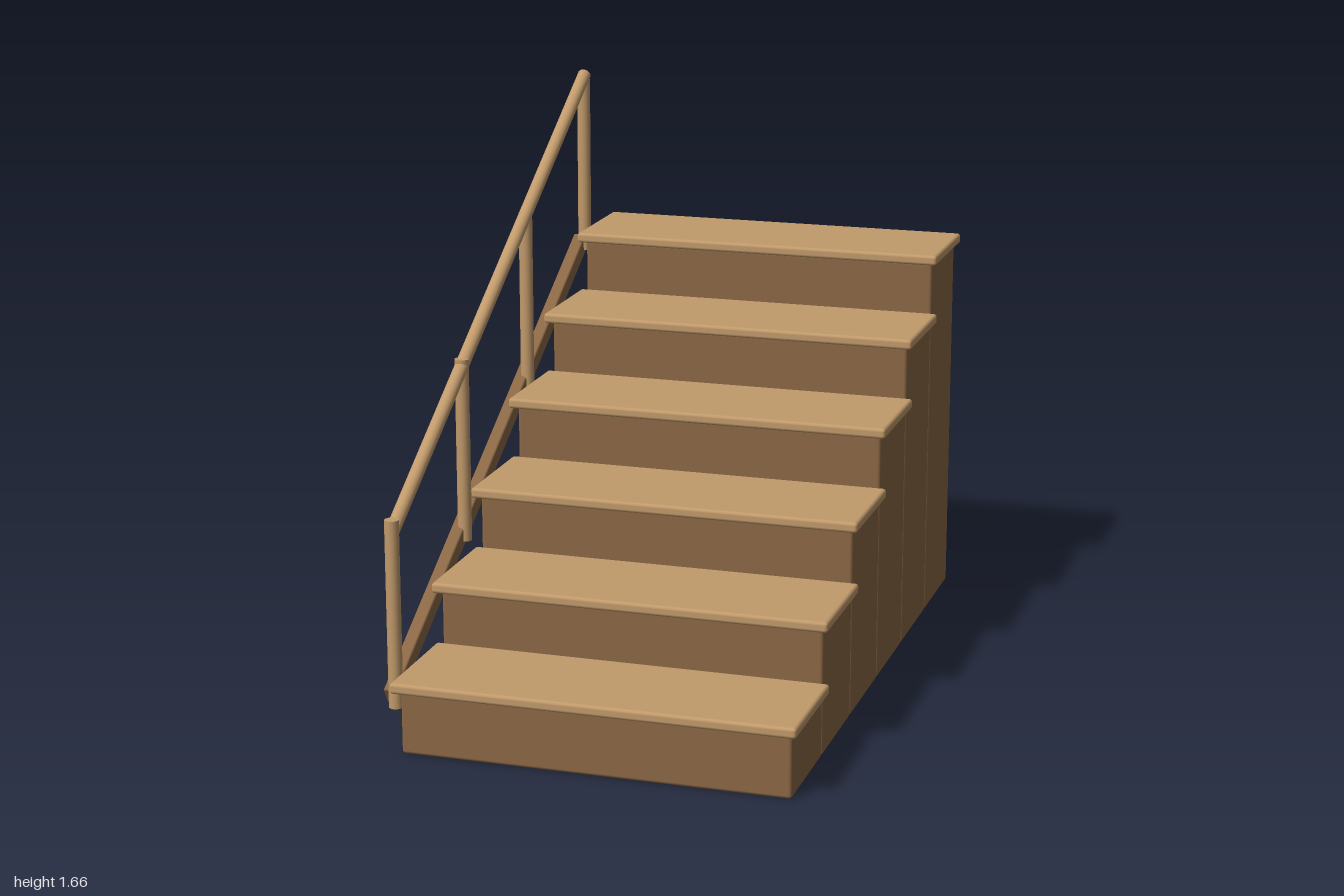
import * as THREE from 'three';
import { RoundedBoxGeometry } from 'three/addons/geometries/RoundedBoxGeometry.js';

export function createModel() {
  const lightWood = new THREE.MeshStandardMaterial({ color: 0xc19a6b });
  lightWood.name = 'lightWood';
  const darkWood = new THREE.MeshStandardMaterial({ color: 0x8b6846 });
  darkWood.name = 'darkWood';

  const model = new THREE.Group();
  model.name = 'staircase';

  const add = (name, geometry, material, x, y, z) => {
    const mesh = new THREE.Mesh(geometry, material);
    mesh.name = name;
    mesh.position.set(x, y, z);
    model.add(mesh);
    return mesh;
  };

  // Six solid steps, each with an overhanging tread
  const stepRun = 0.327, stepRise = 0.19, treadThickness = 0.032;
  for (let i = 0; i < 6; i++) {
    const top = 0.22 + i * stepRise;
    const height = top - treadThickness + 0.002;
    add(`stepBlock${i + 1}`, new RoundedBoxGeometry(1.137, height, 0.326, 2, 0.01),
      darkWood, 0.042, height / 2, 0.803 - i * stepRun);
    add(`tread${i + 1}`, new RoundedBoxGeometry(1.177, treadThickness, 0.363, 2, 0.01),
      lightWood, 0.042, top - treadThickness / 2, 0.8185 - i * stepRun);
  }

  // Four upright posts beside the right edge of the stairs
  const railX = -0.595, radius = 0.021;
  for (let i = 0; i < 4; i++) {
    add(`post${i + 1}`, new THREE.CylinderGeometry(radius, radius, 0.56, 20),
      lightWood, railX, 0.365 + i * 0.328, 0.835 - i * 0.563);
  }

  // Sloping handrail across the post tops
  const start = new THREE.Vector3(railX, 0.61, 0.83);
  const end = new THREE.Vector3(railX, 1.645, -0.863);
  const direction = end.clone().sub(start);
  const rail = add('handrail', new THREE.CylinderGeometry(radius, radius, direction.length(), 20),
    lightWood, railX, (start.y + end.y) / 2, (start.z + end.z) / 2);
  rail.quaternion.setFromUnitVectors(new THREE.Vector3(0, 1, 0), direction.normalize());

  // Sloping bottom board that carries the posts
  const board = add('bottomBoard', new RoundedBoxGeometry(0.04, 0.052, 1.96, 2, 0.006),
    darkWood, -0.612, 0.605, -0.02);
  board.rotation.x = Math.atan(stepRise / stepRun);

  return model;
}
